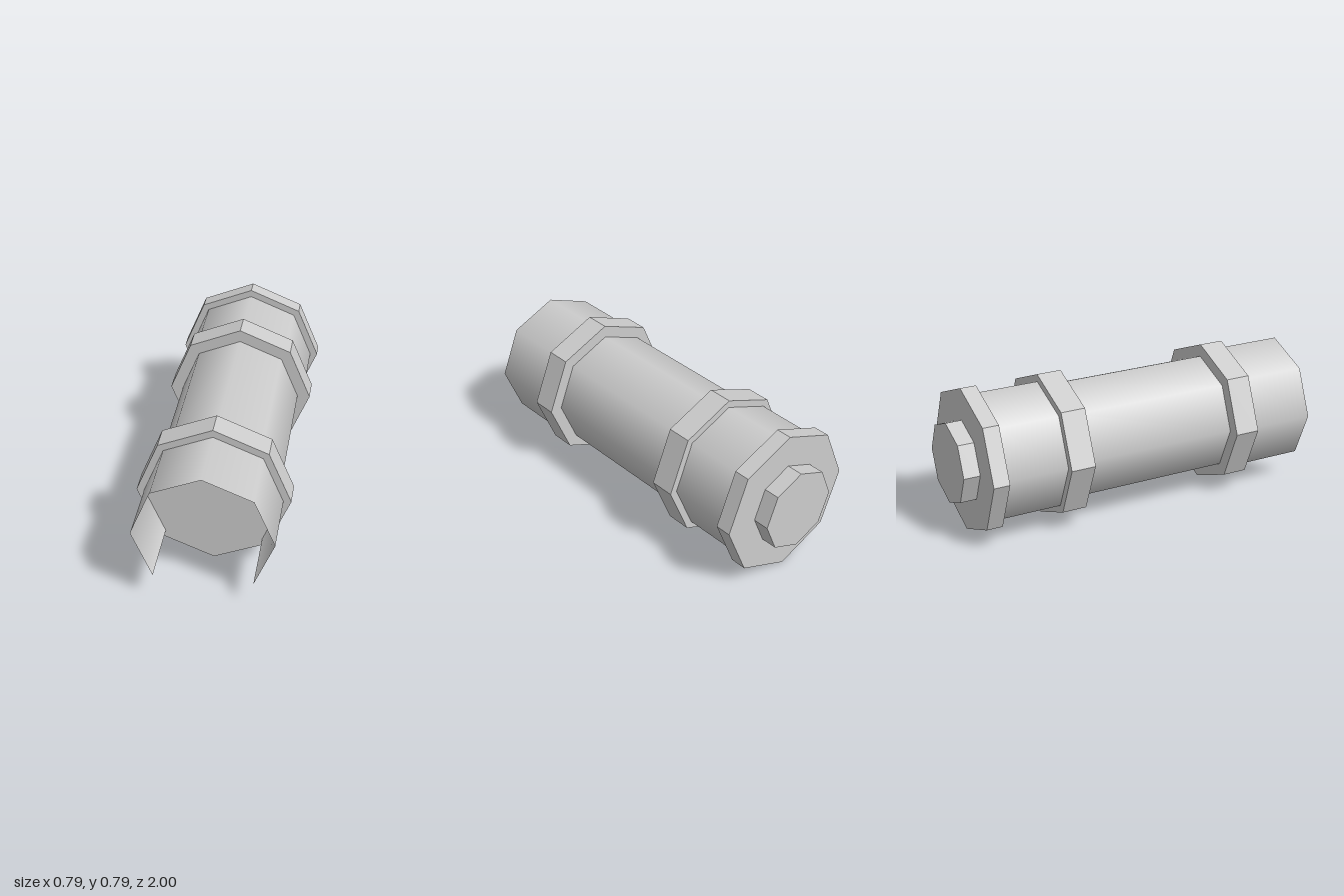
import * as THREE from 'three';

export function createModel() {
  const model = new THREE.Group();
  const grey = new THREE.MeshStandardMaterial({ color: 0xcccccc, side: THREE.DoubleSide });
  grey.name = 'grey metal';
  const axisY = 0.395;

  function add(name, geometry, z, parent = model) {
    const mesh = new THREE.Mesh(geometry, grey);
    mesh.name = name;
    mesh.position.set(0, axisY, z);
    parent.add(mesh);
  }

  // Eight-sided wall along z; an open one lacks its two lowest faces
  function wall(radius, zFront, zBack, open) {
    const g = new THREE.CylinderGeometry(radius, radius, zFront - zBack, open ? 6 : 8, 1, true,
      open ? Math.PI / 4 : 0, open ? Math.PI * 1.5 : Math.PI * 2);
    return g.rotateX(Math.PI / 2);
  }

  // Smooth-shaded tube section
  function tube(name, radius, zFront, zBack, open) {
    add(name, wall(radius, zFront, zBack, open), (zFront + zBack) / 2);
  }

  // Flat-sided collar, closed by full octagonal plates
  function collar(name, radius, zFront, zBack) {
    const group = new THREE.Group();
    group.name = name;
    const sides = wall(radius, zFront, zBack, true).toNonIndexed();
    sides.computeVertexNormals();
    add(name + 'Sides', sides, (zFront + zBack) / 2, group);
    add(name + 'FrontPlate', new THREE.CircleGeometry(radius, 8), zFront, group);
    add(name + 'BackPlate', new THREE.CircleGeometry(radius, 8).rotateY(Math.PI), zBack, group);
    model.add(group);
  }

  tube('frontTube', 0.355, 1, 0.64, true);
  tube('middleTube', 0.327, 0.505, -0.375, false);
  tube('backTube', 0.355, -0.485, -0.825, true);

  collar('frontCollar', 0.395, 0.64, 0.505);
  collar('middleCollar', 0.395, -0.35, -0.485);
  collar('endCollar', 0.395, -0.825, -0.912);
  collar('endKnob', 0.222, -0.912, -1);

  return model;
}
